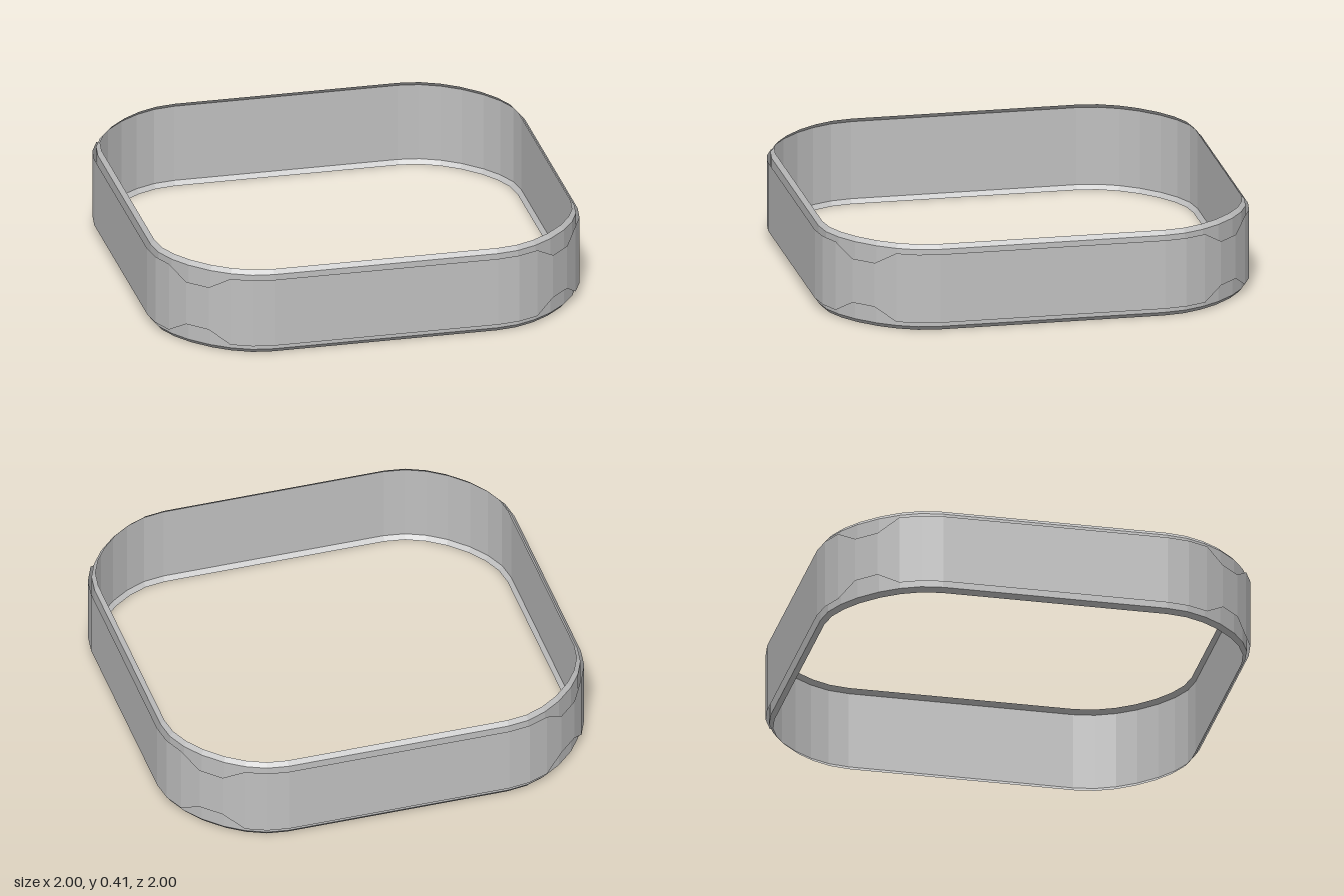
import * as THREE from 'three';

// One corner of the rounded-square outline, from the +x side round to the +z side
const CORNER = [
  [1, 0.52], [0.985, 0.62], [0.945, 0.713], [0.885, 0.8],
  [0.8, 0.885], [0.713, 0.945], [0.62, 0.985], [0.52, 1],
];
const CENTRE = 0.52;
const HEIGHT = 0.405;

// Closed outline, moved inwards by inset, with the corner repeated four times
function outline(inset) {
  const points = [];
  for (let q = 0; q < 4; q++) {
    for (const [cx, cz] of CORNER) {
      const dx = cx - CENTRE, dz = cz - CENTRE;
      const k = 1 - inset / Math.hypot(dx, dz);
      let x = CENTRE + dx * k, z = CENTRE + dz * k;
      for (let i = 0; i < q; i++) [x, z] = [-z, x];
      points.push([x, z]);
    }
  }
  return points;
}

// Faceted sheet joining each pair of neighbouring rings of [x, y, z] points
function sheet(rings) {
  const positions = [];
  for (let r = 0; r + 1 < rings.length; r++) {
    const low = rings[r], high = rings[r + 1];
    for (let i = 0; i < low.length; i++) {
      const j = (i + 1) % low.length;
      positions.push(...low[i], ...high[i], ...high[j]);
      positions.push(...low[i], ...high[j], ...low[j]);
    }
  }
  const geometry = new THREE.BufferGeometry();
  geometry.setAttribute('position', new THREE.Float32BufferAttribute(positions, 3));
  geometry.computeVertexNormals();
  return geometry;
}

export function createModel() {
  const group = new THREE.Group();
  group.name = 'squareBand';
  const grey = new THREE.MeshStandardMaterial({
    color: 0xc0c0c0, side: THREE.DoubleSide, flatShading: true,
  });
  grey.name = 'grey';

  // Thin band with both rims turned inwards
  const profile = [[0.034, 0], [0.016, 0.02], [0.016, HEIGHT - 0.02], [0.034, HEIGHT]];
  const bandRings = profile.map(([inset, y]) => outline(inset).map(([x, z]) => [x, y, z]));
  const band = new THREE.Mesh(sheet(bandRings), grey);
  band.name = 'band';

  // Raised outer cover, narrowed at the middle of each corner
  const edge = (i) => (i % CORNER.length === 3 || i % CORNER.length === 4 ? 0.1 : 0.042);
  const cover = new THREE.Mesh(sheet([
    outline(0).map(([x, z], i) => [x, edge(i), z]),
    outline(0).map(([x, z], i) => [x, HEIGHT + 0.003 - edge(i), z]),
  ]), grey);
  cover.name = 'outerCover';

  group.add(band, cover);
  return group;
}
